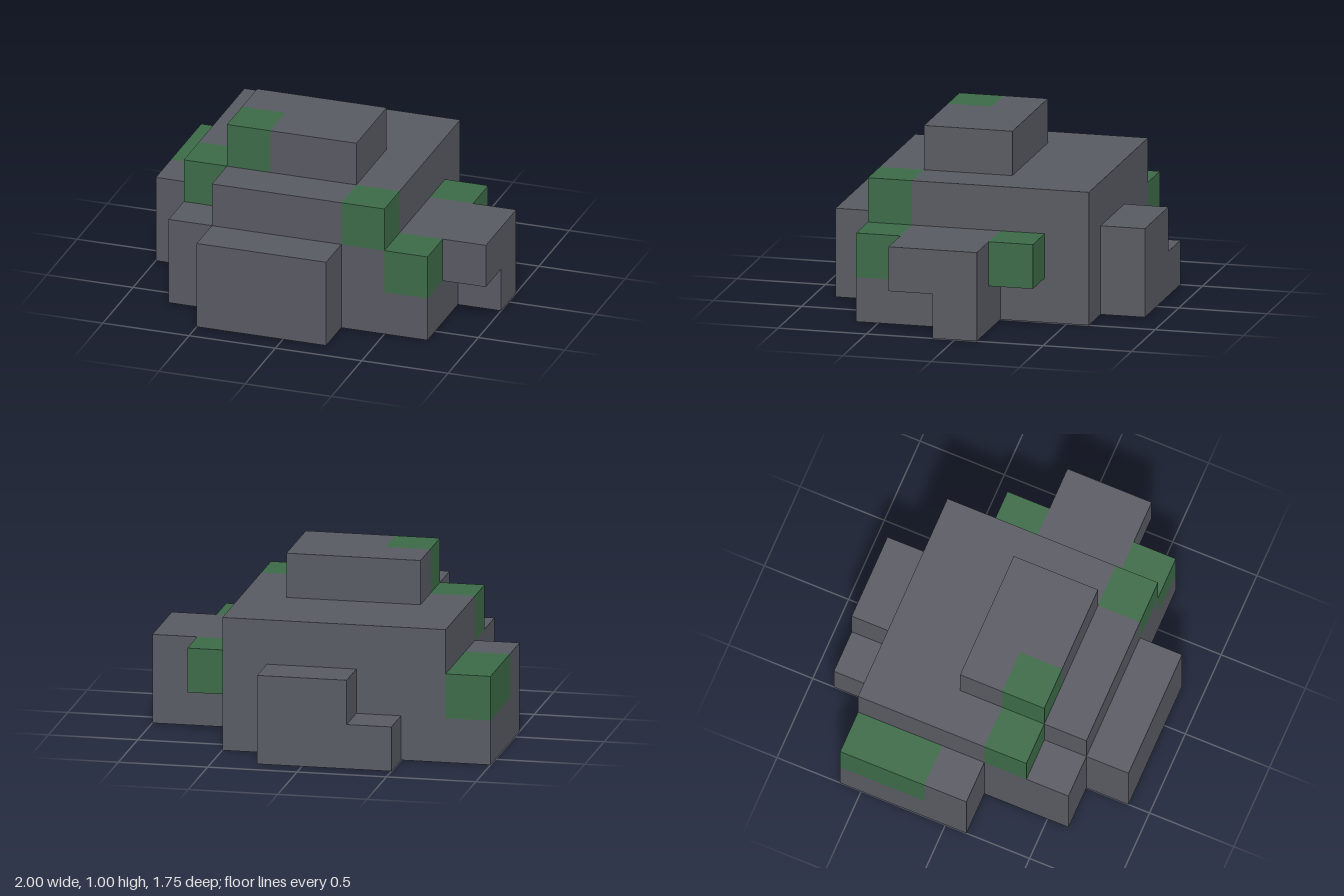
import * as THREE from 'three';
import { mergeGeometries } from 'three/addons/utils/BufferGeometryUtils.js';

const CELL = 0.25;
const NX = 8, NZ = 7;

const material = (name, color) =>
  Object.assign(new THREE.MeshStandardMaterial({ color, side: THREE.DoubleSide }), { name });

// The six directions a cell can face: offset and the turn that points a plane there
const H = Math.PI / 2;
const SIDES = [
  [[1, 0, 0], [0, H, 0]], [[-1, 0, 0], [0, -H, 0]],
  [[0, 1, 0], [-H, 0, 0]], [[0, -1, 0], [H, 0, 0]],
  [[0, 0, 1], [0, 0, 0]], [[0, 0, -1], [0, 2 * H, 0]],
];

export function createModel() {
  const stone = material('stone grey', 0x585a62);
  const moss = material('moss green', 0x3c6a47);

  // Blocks of cells: name, material, x range, y range, z range (end excluded).
  // Later blocks replace the cells of earlier ones.
  const blocks = [
    ['boulderBody', stone, [1, 6], [0, 3], [1, 5]],
    ['boulderBody', stone, [2, 6], [0, 3], [5, 6]],
    ['topSlab', stone, [2, 5], [3, 4], [3, 5]],
    ['frontLedge', stone, [2, 5], [0, 2], [6, 7]],
    ['frontRightStep', stone, [1, 2], [0, 2], [5, 6]],
    ['backLedge', stone, [3, 5], [0, 2], [0, 1]],
    ['backLowStep', stone, [2, 3], [0, 1], [0, 1]],
    ['rightLedge', stone, [0, 1], [0, 2], [1, 4]],
    ['leftLedge', stone, [6, 7], [0, 2], [3, 6]],
    ['leftOverhang', stone, [7, 8], [1, 2], [3, 5]],
    ['leftFoot', stone, [7, 8], [0, 1], [3, 4]],
    ['rightMoss', moss, [0, 1], [1, 2], [1, 3]],
    ['shoulderMoss', moss, [1, 2], [2, 3], [4, 5]],
    ['topMoss', moss, [2, 3], [3, 4], [4, 5]],
    ['frontUpperMoss', moss, [5, 6], [2, 3], [5, 6]],
    ['frontLowerMoss', moss, [6, 7], [1, 2], [5, 6]],
    ['backHangingMoss', moss, [6, 7], [1, 2], [2, 3]],
  ];

  const cells = new Map();
  const materials = {};
  for (const [name, mat, xs, ys, zs] of blocks) {
    materials[name] = mat;
    for (let x = xs[0]; x < xs[1]; x++)
      for (let y = ys[0]; y < ys[1]; y++)
        for (let z = zs[0]; z < zs[1]; z++)
          cells.set([x, y, z].join(), { name, p: [x, y, z] });
  }

  // Keep only the outer skin; the base is open and the inside hollow
  const faces = {};
  for (const { name, p: [x, y, z] } of cells.values()) {
    for (const [[dx, dy, dz], turn] of SIDES) {
      if (y + dy < 0 || cells.has([x + dx, y + dy, z + dz].join())) continue;
      const face = new THREE.PlaneGeometry(CELL, CELL);
      face.rotateX(turn[0]).rotateY(turn[1]);
      face.translate(
        (x + 0.5 + dx / 2 - NX / 2) * CELL,
        (y + 0.5 + dy / 2) * CELL,
        (z + 0.5 + dz / 2 - NZ / 2) * CELL,
      );
      (faces[name] ??= []).push(face);
    }
  }

  const model = new THREE.Group();
  model.name = 'mossyBoulder';
  for (const [name, list] of Object.entries(faces)) {
    const mesh = new THREE.Mesh(mergeGeometries(list), materials[name]);
    mesh.name = name;
    model.add(mesh);
  }
  return model;
}
